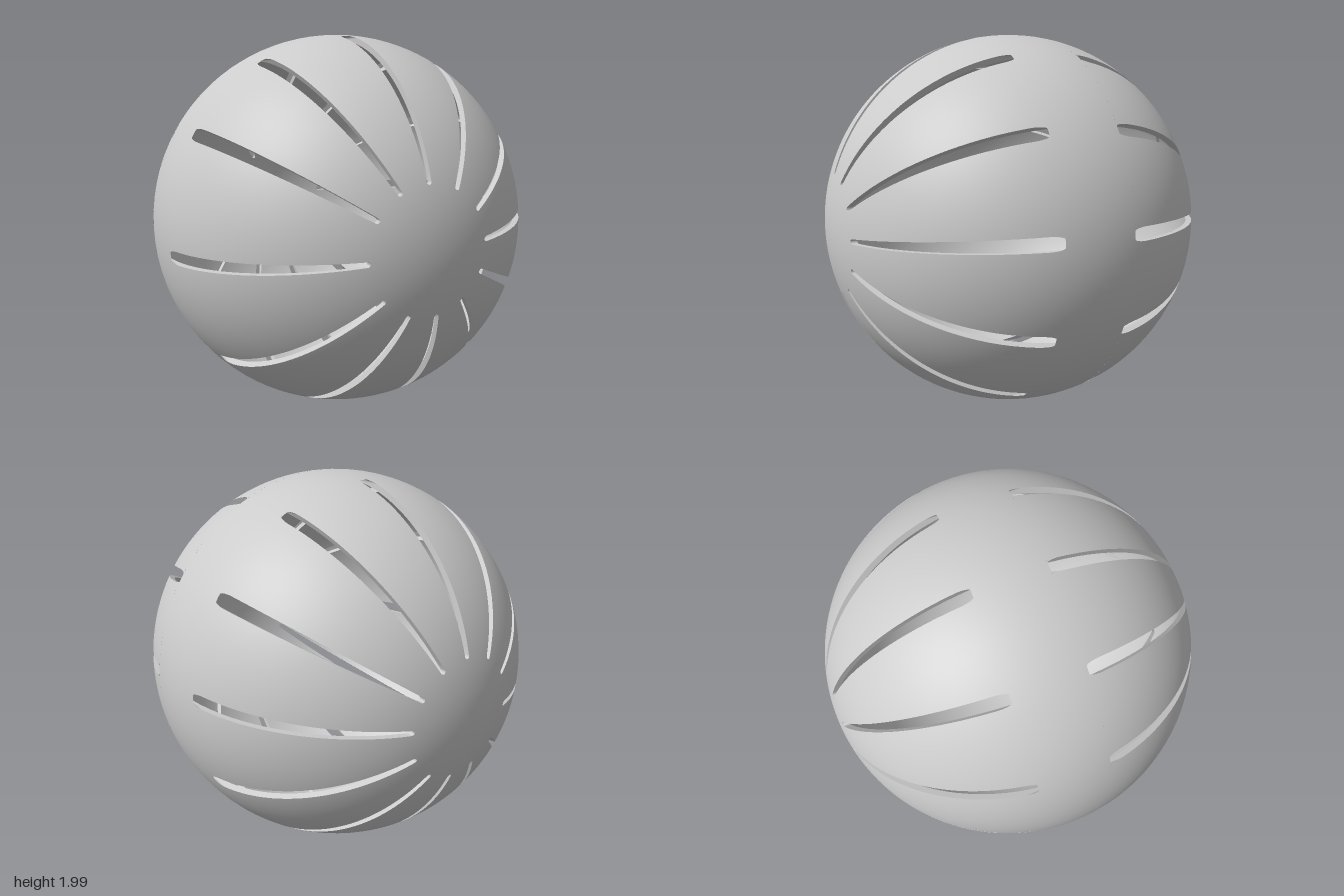
import * as THREE from 'three';
import { mergeGeometries, toCreasedNormals } from 'three/addons/utils/BufferGeometryUtils.js';

// Overall size of the hollow ball
const R = 0.993, RZ = 1, WALL = 0.03;
const RI = R - WALL, RZI = RZ - WALL;

// Slots: directions around the z axis (degrees), radial extent, and taper
const SLOTS = [-174.9, -138.6, -109.6, -81.5, -52.9, -23.2, 5.4, 34.4, 63.5, 91.9, 120.3, 149.2];
const R_IN = 0.30, R_OUT = 0.977, W_IN = 0.024, W_OUT = 0.068, CORNER = 0.015;
const COLS = 8;

// Slot width at distance r from the axis, with rounded ends
function slotWidth(r) {
  if (r <= R_IN || r > R_OUT) return 0;
  let w = THREE.MathUtils.mapLinear(r, R_IN, R_OUT, W_IN, W_OUT);
  const c = W_IN / 2, d = c - (r - R_IN), e = CORNER - (R_OUT - r);
  if (d > 0) w = Math.min(w, 2 * Math.sqrt(Math.max(0, c * c - d * d)));
  if (e > 0) w -= 2 * (CORNER - Math.sqrt(Math.max(0, CORNER * CORNER - e * e)));
  return w;
}

// Rings shared by all surfaces: even steps over both spheres plus the slot ends
function makeRows() {
  const radii = [];
  for (let i = 0; i <= 30; i++) {
    const s = Math.sin((i / 30) * Math.PI / 2);
    radii.push(R * s, RI * s);
  }
  for (let i = 0; i <= 6; i++) {
    const a = (i / 6) * Math.PI / 2;
    radii.push(R_IN + (W_IN / 2) * (1 - Math.cos(a)), R_OUT - CORNER * (1 - Math.sin(a)));
  }
  radii.sort((a, b) => a - b);
  const rows = radii
    .filter((r, i) => i === 0 || r - radii[i - 1] > 1e-5)
    .map((r) => ({ r, w: slotWidth(r) }));
  // flat outer end of the slot
  const end = rows.findIndex((row) => row.r > R_OUT + 1e-6);
  rows.splice(end, 0, { r: R_OUT, w: 0 });
  return rows;
}

const dome = (r, rad, h) => h * Math.sqrt(Math.max(0, 1 - (r / rad) ** 2));

// Grid of points to a geometry; normalAt gives smooth normals where supplied
function gridGeometry(points, flip, normalAt) {
  const n = points[0].length, pos = [], nor = [], idx = [];
  points.flat().forEach((p) => {
    pos.push(p.x, p.y, p.z);
    if (normalAt) nor.push(...normalAt(p).toArray());
  });
  for (let i = 0; i < points.length - 1; i++) {
    for (let j = 0; j < n - 1; j++) {
      const a = i * n + j, b = a + n, c = b + 1, d = a + 1;
      if (flip) idx.push(a, c, b, a, d, c);
      else idx.push(a, b, c, a, c, d);
    }
  }
  const g = new THREE.BufferGeometry();
  g.setAttribute('position', new THREE.Float32BufferAttribute(pos, 3));
  if (normalAt) g.setAttribute('normal', new THREE.Float32BufferAttribute(nor, 3));
  g.setIndex(idx);
  return g;
}

export function createModel() {
  const rows = makeRows();
  const innerRows = rows.filter((row) => row.r <= RI + 1e-6);
  const slotRows = rows.filter((row) => row.r >= R_IN - 1e-6 && row.r <= R_OUT + 1e-6);
  const outer = [], inner = [], walls = [];

  const outNormal = (p) => new THREE.Vector3(p.x / R ** 2, p.y / R ** 2, p.z / RZ ** 2).normalize();
  const inNormal = (p) => new THREE.Vector3(-p.x / RI ** 2, -p.y / RI ** 2, -p.z / RZI ** 2).normalize();
  const point = (r, t, z) => new THREE.Vector3(r * Math.cos(t), r * Math.sin(t), z);

  for (const side of [1, -1]) {
    const back = side < 0;
    SLOTS.forEach((deg, i) => {
      // Each rib spans from one slot to the next
      const t0 = THREE.MathUtils.degToRad(deg);
      const t1 = THREE.MathUtils.degToRad(i < SLOTS.length - 1 ? SLOTS[i + 1] : SLOTS[0] + 360);
      const half = ({ r, w }) => (w > 0 ? Math.asin(w / 2 / r) : 0);
      const sheet = (list, rad, h) => list.map((row) => {
        const a = half(row), z = side * dome(row.r, rad, h);
        return Array.from({ length: COLS + 1 }, (_, j) =>
          point(row.r, THREE.MathUtils.lerp(t0 + a, t1 - a, j / COLS), z));
      });
      outer.push(gridGeometry(sheet(rows, R, RZ), back, outNormal));
      inner.push(gridGeometry(sheet(innerRows, RI, RZI), !back, inNormal));

      // Slot walls run straight along z through the shell
      for (const start of [true, false]) {
        const strip = slotRows.map((row) => {
          const t = start ? t0 + half(row) : t1 - half(row);
          return [
            point(row.r, t, side * dome(row.r, R, RZ)),
            point(row.r, t, side * dome(row.r, RI, RZI)),
          ];
        });
        walls.push(gridGeometry(strip, start !== back));
      }
    });
  }

  const material = new THREE.MeshStandardMaterial({ color: 0xcccccc });
  const group = new THREE.Group();
  group.name = 'slottedBall';
  const add = (name, geometry) => {
    const mesh = new THREE.Mesh(geometry, material);
    mesh.name = name;
    mesh.position.y = R;
    group.add(mesh);
  };
  add('outerShell', mergeGeometries(outer));
  add('innerShell', mergeGeometries(inner));
  add('slotWalls', toCreasedNormals(mergeGeometries(walls), 0.6));
  return group;
}
